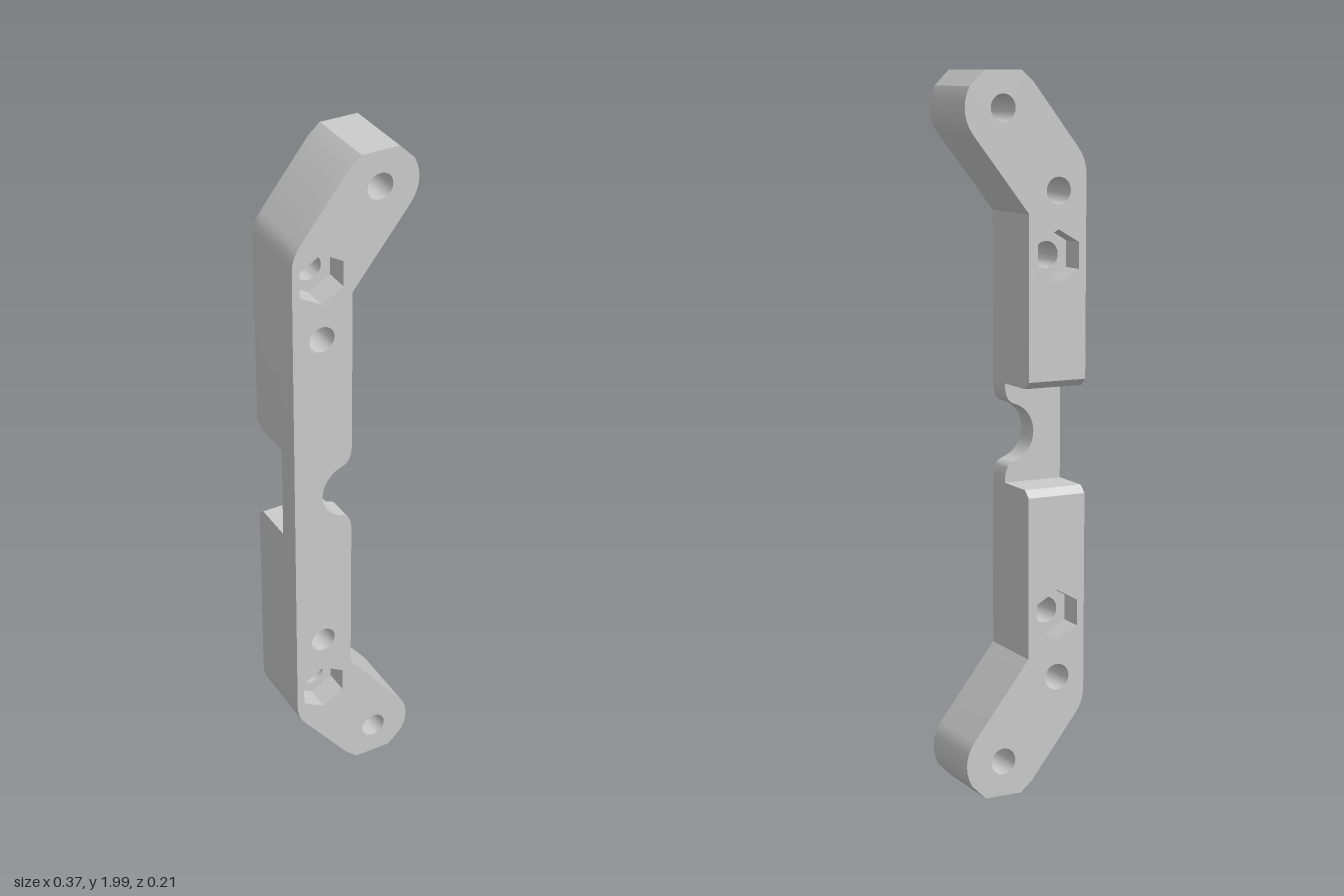
import * as THREE from 'three';
import { mergeGeometries, toCreasedNormals } from 'three/addons/utils/BufferGeometryUtils.js';

const BACK = -0.107, FRONT = 0.107;   // thickness of the bracket
const WEB = 0.035;                    // rear face of the thin middle web
const BEVEL = -0.085;                 // where the notch bevel begins
const LEFT = -0.183, RIGHT = -0.008;  // straight bar edges
const NOTCH = 0.14, NOTCH_OUT = 0.16; // half height of the rear notch, before and after its bevel
const POCKET = 0.072;                 // nut pocket depth

const v2 = (x, y) => new THREE.Vector2(x, y);

// Points on a circle at the given angles in degrees
const ring = (cx, cy, r, angles) => angles.map((a) => {
  const t = THREE.MathUtils.degToRad(a);
  return v2(cx + r * Math.cos(t), cy + r * Math.sin(t));
});
const span = (from, to, n) => Array.from({ length: n + 1 }, (_, i) => from + ((to - from) * i) / n);

// Ribbon from outline a at z0 to outline b at z1; faces outward for counter-clockwise outlines
function wall(a, z0, b, z1, closed = true) {
  const pos = [], index = [], n = a.length;
  a.forEach((p, i) => pos.push(p.x, p.y, z0, b[i].x, b[i].y, z1));
  for (let i = 0; i < (closed ? n : n - 1); i++) {
    const p = 2 * i, q = 2 * ((i + 1) % n);
    index.push(p, q, q + 1, p, q + 1, p + 1);
  }
  const g = new THREE.BufferGeometry();
  g.setAttribute('position', new THREE.Float32BufferAttribute(pos, 3));
  g.setIndex(index);
  return g;
}

// Flat face with holes, facing +z or -z
function face(points, holes, z, toFront) {
  const shape = new THREE.Shape(points);
  shape.holes = holes.map((h) => new THREE.Path(h));
  const g = new THREE.ShapeGeometry(shape);
  g.translate(0, 0, z);
  g.deleteAttribute('normal');
  g.deleteAttribute('uv');
  if (!toFront) g.index.array.reverse();
  return g;
}

// Merge the pieces with their mirror image in y, standing on the ground
function mirroredMesh(name, pieces, material) {
  const flipped = pieces.map((p) => {
    const g = p.clone().scale(1, -1, 1);
    g.setIndex(Array.from(p.index.array).reverse());
    return g;
  });
  const merged = mergeGeometries([...pieces, ...flipped]).translate(0, 1, 0);
  const mesh = new THREE.Mesh(toCreasedNormals(merged.toNonIndexed(), 0.3), material);
  mesh.name = name;
  return mesh;
}

export function createModel() {
  const group = new THREE.Group();
  group.name = 'bracket';
  const material = new THREE.MeshStandardMaterial({ color: 0xcccccc });

  // Upper half outline, measured from mid height: slanted arm with a faceted end
  const arm = [
    ...ring(0.07, 0.897, 0.113, [...span(-38, 30, 7), 61, 119, 142]),
    ...ring(-0.07, 0.719, 0.113, span(142, 180, 4)),
  ];
  const upper = [v2(RIGHT, 0.615), ...arm];

  // Round side notch flowing into the straight edge
  const scoop = ring(-0.013, 0, 0.085, span(180, 105, 9));
  const end = scoop[scoop.length - 1];
  const flare = new THREE.QuadraticBezierCurve(end, v2(-0.009, 0.09), v2(RIGHT, NOTCH)).getPoints(8);
  const notchEdge = [...scoop, ...flare.slice(1)];

  const frontOutline = [...notchEdge, ...upper, v2(LEFT, 0)];
  const block = (y) => [v2(RIGHT, y), ...upper, v2(LEFT, y)];

  // Bolt holes; two of them end in a hexagonal nut pocket
  const circle = (x, y) => ring(x, y, 0.037, span(0, 345, 23));
  const hexagon = (x, y) => ring(x, y, 0.073, span(30, 330, 5));
  const endHole = circle(0.07, 0.897);
  const outerHole = circle(-0.098, 0.676), outerHex = hexagon(-0.098, 0.676);
  const innerHole = circle(-0.098, 0.499), innerHex = hexagon(-0.098, 0.499);

  // Body: faces, side walls, web and bevelled rear notch
  group.add(mirroredMesh('body', [
    face(frontOutline, [endHole, outerHex, innerHole], FRONT, true),
    face(block(NOTCH_OUT), [endHole, outerHole, innerHex], BACK, false),
    face([...notchEdge, v2(LEFT, NOTCH), v2(LEFT, 0)], [], WEB, false),
    wall(frontOutline, WEB, frontOutline, FRONT, false),
    wall(block(NOTCH), BEVEL, block(NOTCH), WEB),
    wall(block(NOTCH_OUT), BACK, block(NOTCH), BEVEL),
  ], material));

  // Inward-facing walls of the holes and pockets
  const bore = (points, z0, z1) => {
    const inward = [...points].reverse();
    return wall(inward, z0, inward, z1);
  };
  group.add(mirroredMesh('boltHoles', [
    bore(endHole, BACK, FRONT),
    bore(outerHole, BACK, FRONT - POCKET),
    bore(innerHole, BACK + POCKET, FRONT),
  ], material));
  group.add(mirroredMesh('nutPockets', [
    bore(outerHex, FRONT - POCKET, FRONT),
    face(outerHex, [outerHole], FRONT - POCKET, true),
    bore(innerHex, BACK, BACK + POCKET),
    face(innerHex, [innerHole], BACK + POCKET, false),
  ], material));

  return group;
}
